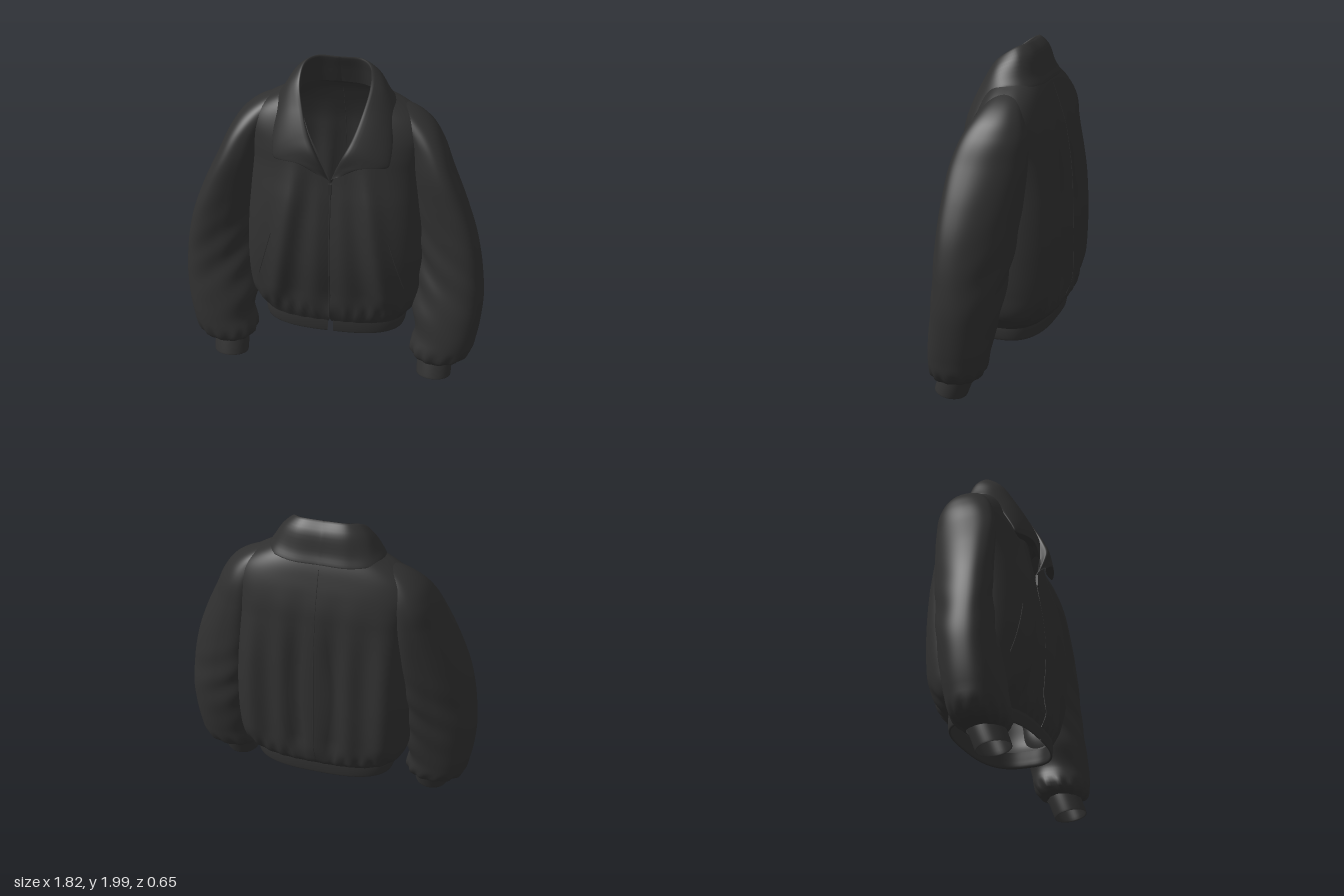
import * as THREE from 'three';
import { mergeVertices } from 'three/addons/utils/BufferGeometryUtils.js';

const cloth = new THREE.MeshStandardMaterial({ color: 0x303030, side: THREE.DoubleSide });
cloth.name = 'charcoal cloth';

// Smooth surface from a rule f(u, v) -> [x, y, z]; u runs around, v along
function loft(nu, nv, f) {
  const pos = [], idx = [], w = nu + 1;
  for (let j = 0; j <= nv; j++)
    for (let i = 0; i <= nu; i++) pos.push(...f(i / nu, j / nv));
  for (let j = 0; j < nv; j++)
    for (let i = 0; i < nu; i++) {
      const a = j * w + i;
      idx.push(a, a + 1, a + w, a + 1, a + w + 1, a + w);
    }
  let g = new THREE.BufferGeometry();
  g.setAttribute('position', new THREE.Float32BufferAttribute(pos, 3));
  g.setIndex(idx);
  g = mergeVertices(g, 1e-5);
  g.computeVertexNormals();
  return g;
}

// Smooth lookup in a table whose first column is the parameter
function table(rows) {
  const it = new THREE.CubicInterpolant(rows.map(r => r[0]), rows.flatMap(r => r.slice(1)), rows[0].length - 1);
  return t => Array.from(it.evaluate(t));
}

const spow = (v, n) => Math.sign(v) * Math.pow(Math.abs(v), 2 / n);
const step = THREE.MathUtils.smoothstep;
const bump = (v, c, w) => Math.exp(-(((v - c) / w) ** 2));
const ROUND = 2.8;

// Torso: height, half width, back z, front z, half opening at the front
const torso = table([
  [0.36, 0.44, -0.235, 0.245, 0.006],
  [0.40, 0.475, -0.275, 0.26, 0.003],
  [0.46, 0.515, -0.295, 0.275, 0.003],
  [0.60, 0.535, -0.30, 0.295, 0.003],
  [0.80, 0.535, -0.30, 0.31, 0.003],
  [1.00, 0.525, -0.295, 0.30, 0.003],
  [1.20, 0.51, -0.29, 0.27, 0.003],
  [1.33, 0.505, -0.285, 0.24, 0.004],
  [1.40, 0.505, -0.28, 0.225, 0.025],
  [1.50, 0.515, -0.27, 0.205, 0.07],
  [1.60, 0.52, -0.245, 0.175, 0.125],
  [1.68, 0.475, -0.218, 0.145, 0.16],
  [1.74, 0.395, -0.195, 0.12, 0.185],
  [1.79, 0.305, -0.17, 0.095, 0.205],
  [1.83, 0.24, -0.145, 0.07, 0.21],
]);

// Hanging folds and waistband gathers, as an offset in z
function fold(x, y, front) {
  const m = Math.abs(x), fade = step(y, 0.4, 0.6) * (1 - step(y, 1.1, 1.65));
  const gather = 0.01 * Math.sin(m * 75 + 1) * bump(y, 0.44, 0.05);
  if (!front)
    return gather - fade * (0.03 * Math.cos(m * 30) * bump(m, 0, 0.25) + 0.045 * bump(m, 0.42, 0.09));
  const drape = 0.03 * bump(m, 0.33 - 0.16 * (y - 0.6), 0.06) - 0.022 * bump(m, 0.2 - 0.12 * (y - 0.6), 0.07);
  return gather + fade * (drape - 0.03 * bump(m, 0, 0.05));
}

function frontZ(x, y) {
  const [hw, zb, zf] = torso(y);
  const k = Math.pow(1 - Math.pow(Math.abs(x) / hw, ROUND), 1 / ROUND);
  return (zf + zb) / 2 + (zf - zb) / 2 * k + fold(x, y, true) * k;
}

function torsoPoint(u, y) {
  const [hw, zb, zf, gap] = torso(y);
  const a0 = Math.asin(Math.pow(Math.max(gap, 0.002) / hw, ROUND / 2));
  const a = a0 + (2 * Math.PI - 2 * a0) * u, front = Math.cos(a) > 0;
  // the blouson back hangs squarer than the front
  const n = front ? ROUND : ROUND + 0.9 * bump(y, 0.95, 0.4);
  const c = spow(Math.cos(a), n), x = hw * spow(Math.sin(a), n);
  return [x, y, (zf + zb) / 2 + (zf - zb) / 2 * c + fold(x, y, front) * Math.abs(c)];
}

// Sleeve: height, inner x, outer x, back z, front z, forward skew of the outer side
const sleeve = table([
  [0.12, 0.56, 0.74, 0.06, 0.265, 0],
  [0.145, 0.51, 0.81, 0.02, 0.29, 0],
  [0.20, 0.485, 0.86, -0.015, 0.305, 0],
  [0.30, 0.51, 0.885, -0.04, 0.30, 0.01],
  [0.45, 0.48, 0.905, -0.07, 0.28, 0.025],
  [0.60, 0.49, 0.91, -0.095, 0.25, 0.045],
  [0.80, 0.48, 0.89, -0.12, 0.22, 0.075],
  [1.00, 0.46, 0.85, -0.145, 0.205, 0.09],
  [1.20, 0.43, 0.78, -0.17, 0.195, 0.09],
  [1.40, 0.41, 0.69, -0.19, 0.18, 0.075],
  [1.55, 0.39, 0.62, -0.19, 0.14, 0.045],
  [1.65, 0.35, 0.545, -0.16, 0.09, 0.015],
  [1.72, 0.31, 0.445, -0.12, 0.04, 0],
  [1.755, 0.29, 0.36, -0.08, 0, 0],
  [1.77, 0.31, 0.32, -0.045, -0.035, 0],
]);

function sleevePoint(u, v, side) {
  const y = 0.12 + 1.65 * (1 - Math.pow(1 - v, 1.2)), a = u * 2 * Math.PI;
  const [x0, x1, z0, z1, skew] = sleeve(y);
  const sx = Math.sin(a), cz = Math.cos(a);
  // elbow creases on the inner side, gathers above the cuff
  const crease = 0.045 * Math.sin(y * 26 + sx * 5) * bump(y, 0.75, 0.25) * (0.65 - 0.6 * sx);
  const gather = 0.045 * Math.sin(a * 13) * bump(y, 0.17, 0.04);
  const k = 1 + crease + gather;
  return [side * ((x0 + x1) / 2 + (x1 - x0) / 2 * spow(sx, 2.2) * k), y,
    (z0 + z1) / 2 + (z1 - z0) / 2 * spow(cz, 2.2) * k + skew * sx];
}

// Ribbed band profile: [scale, height fraction], outside down and inside up
const bandProfile = [[1, 1], [1.01, 0.6], [1, 0.12], [0.985, 0], [0.96, 0.03], [0.95, 0.4], [0.95, 1]];
const bandCurve = new THREE.CatmullRomCurve3(bandProfile.map(([s, h]) => new THREE.Vector3(s, h, 0)));

// Collar: neck base, roll line and outer edge from back centre to the front
const curve = pts => new THREE.CatmullRomCurve3(pts.map(p => new THREE.Vector3(...p)));
const base = curve([[0, 1.8, -0.14], [0.14, 1.8, -0.12], [0.21, 1.8, -0.05], [0.21, 1.78, 0.03],
  [0.185, 1.72, 0.10], [0.14, 1.6, 0.145], [0.077, 1.47, 0.18], [0.03, 1.38, 0.205], [0.004, 1.33, 0.22]]);
const roll = curve([[0, 1.985, -0.075], [0.13, 1.985, -0.07], [0.185, 1.965, -0.02], [0.20, 1.89, 0.08],
  [0.17, 1.76, 0.165], [0.125, 1.63, 0.235], [0.075, 1.53, 0.275], [0.035, 1.44, 0.265], [0.005, 1.36, 0.24]]);
const edge = curve([[0, 1.765, -0.187], [0.17, 1.765, -0.183], [0.29, 1.77, -0.13], [0.335, 1.765, -0.01],
  [0.34, 1.65, 0.115], [0.34, 1.52, 0.195], [0.325, 1.468, 0.22], [0.2, 1.485, 0.255], [0.07, 1.43, 0.255]]);

function collarPoint(u, v, side) {
  const b = base.getPoint(v), r = roll.getPoint(v), e = edge.getPoint(v);
  // the fall blends into the yoke at the back and puffs out toward the front
  const puff = step(v, 0.15, 0.5);
  const out = new THREE.Vector3(e.x, 0, e.z - 0.02).normalize();
  const mid = r.clone().lerp(e, 0.3).addScaledVector(out, 0.02 + 0.004 * puff);
  mid.y += 0.014;
  const low = r.clone().lerp(e, 0.75).addScaledVector(out, 0.004 + 0.02 * puff);
  const under = e.clone().lerp(r, 0.12).addScaledVector(out, -0.02 - 0.018 * puff);
  const p = new THREE.CatmullRomCurve3([b, b.clone().lerp(r, 0.55), r, mid, low, e, under]).getPoint(u);
  return [side * p.x, p.y, p.z];
}

export function createModel() {
  const group = new THREE.Group();
  const add = (name, geo) => {
    const m = new THREE.Mesh(geo, cloth);
    m.name = name;
    group.add(m);
    return m;
  };
  const cord = (name, pts, r) => add(name, new THREE.TubeGeometry(curve(pts), 48, r, 6));
  const along = (n, f) => Array.from({ length: n + 1 }, (_, i) => f(i / n));

  add('torso', loft(160, 90, (u, v) => torsoPoint(u, 0.36 + 1.47 * v)));

  // Waistband, split at the zip
  add('waistband', loft(120, 16, (u, v) => {
    const { x: s, y: h } = bandCurve.getPoint(v);
    const a = 0.012 + (2 * Math.PI - 0.024) * u;
    return [0.435 * s * spow(Math.sin(a), ROUND), 0.28 + 0.1 * h, 0.005 + 0.24 * s * spow(Math.cos(a), ROUND)];
  }));

  for (const side of [1, -1]) {
    const label = side > 0 ? 'left' : 'right';
    add(label + 'Sleeve', loft(80, 80, (u, v) => sleevePoint(u, v, side)));
    add(label + 'Cuff', loft(48, 16, (u, v) => {
      const { x: s, y: h } = bandCurve.getPoint(v), a = u * 2 * Math.PI;
      const z = 0.095 * s * Math.cos(a);
      return [side * (0.642 + 0.106 * s * Math.sin(a)), 0.02 + 0.14 * h + 0.2 * z, 0.207 - 0.05 * h + z];
    }));
    add(label + 'Collar', loft(28, 80, (u, v) => collarPoint(u, v, side)));
    // Slanted pocket welt
    cord(label + 'PocketWelt', along(8, t => {
      const x = 0.35 + 0.09 * t, y = 0.98 - 0.33 * t;
      return [side * x, y, frontZ(x, y)];
    }), 0.003);
  }

  // Zip line, pull tab and back seam
  cord('zip', along(20, t => [0, 0.38 + 0.95 * t, frontZ(0, 0.38 + 0.95 * t)]), 0.005);
  add('zipPull', new THREE.BoxGeometry(0.022, 0.07, 0.012)).position.set(0, 1.3, frontZ(0, 1.3) + 0.012);
  cord('backSeam', along(20, t => torsoPoint(0.5, 0.42 + 1.32 * t)), 0.002);
  return group;
}
